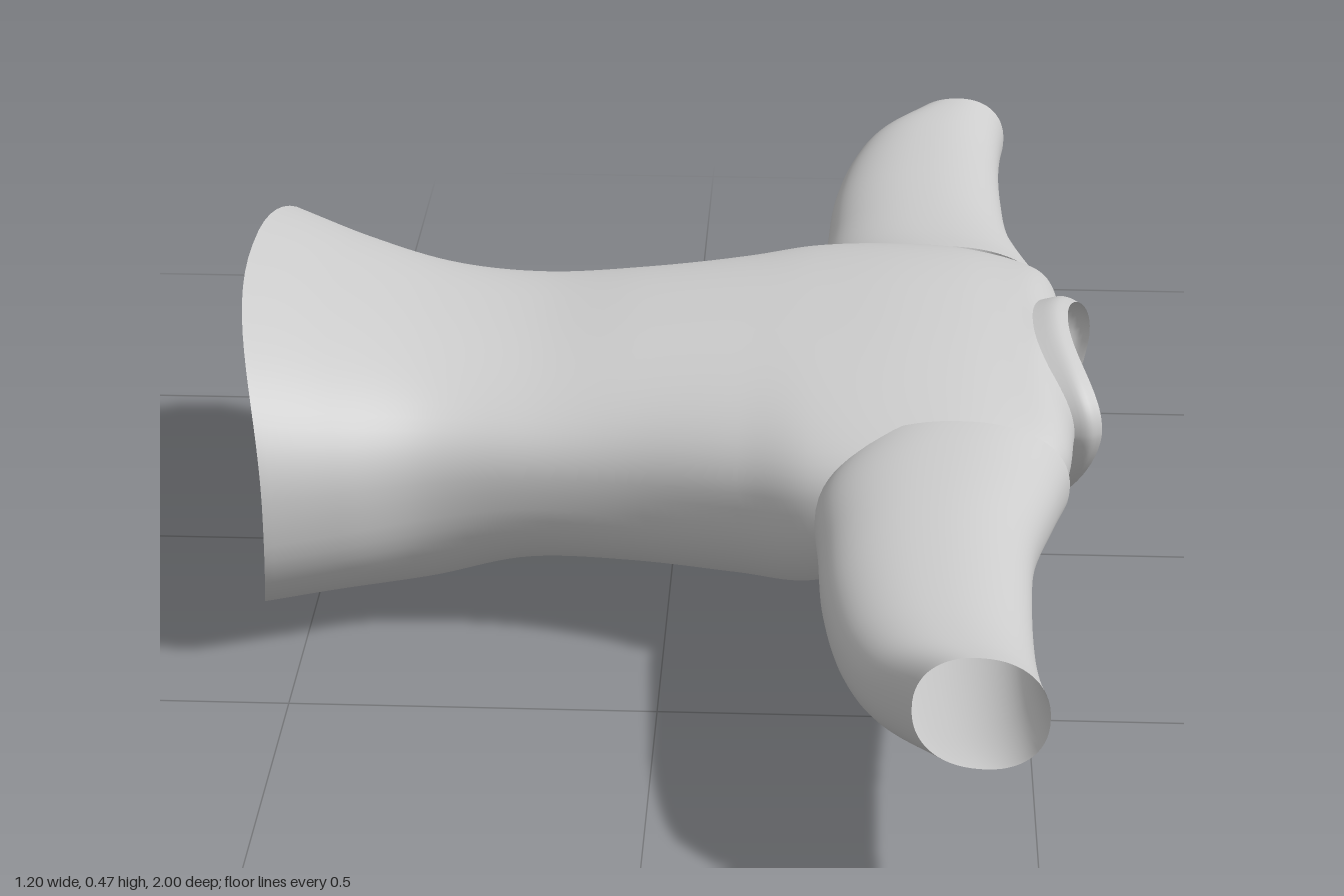
import * as THREE from 'three';

const fabric = new THREE.MeshStandardMaterial({ color: 0xcccccc, side: THREE.DoubleSide });
const SEG = 64;
const pow = (v, e) => Math.sign(v) * Math.abs(v) ** e;

// Skin a smooth surface through a list of rings; skip(p) leaves holes
function loft(name, rings, steps, closed = true, skip = () => false) {
  const n = rings[0].length;
  const columns = rings[0].map((_, j) =>
    new THREE.CatmullRomCurve3(rings.map(r => r[j]), false, 'centripetal'));
  const pts = [], index = [];
  for (let i = 0; i <= steps; i++) {
    for (let j = 0; j < n; j++) pts.push(columns[j].getPoint(i / steps));
  }
  for (let i = 0; i < steps; i++) {
    for (let j = 0; j < (closed ? n : n - 1); j++) {
      const a = i * n + j, d = i * n + (j + 1) % n, b = a + n, c = d + n;
      const mid = pts[a].clone().add(pts[c]).multiplyScalar(0.5);
      if (!skip(mid)) index.push(a, b, d, b, c, d);
    }
  }
  const geo = new THREE.BufferGeometry().setFromPoints(pts);
  geo.setIndex(index);
  geo.computeVertexNormals();
  const mesh = new THREE.Mesh(geo, fabric);
  mesh.name = name;
  return mesh;
}

// Point on a torso section: x differs at side, top and bottom so the ends can bow
function torsoPoint([xSide, xTop, xBot, yLo, yHi, yMid, half, pTop, pBot], a) {
  const c = Math.cos(a), s = Math.sin(a), up = s >= 0;
  const p = up ? pTop : pBot;
  const sy = pow(s, 2 / p);
  return new THREE.Vector3(
    xSide + ((up ? xTop : xBot) - xSide) * s * s,
    yMid + (up ? yHi - yMid : yMid - yLo) * sy,
    half * pow(c, 2 / p));
}

const ringOf = (section, from = 0, to = Math.PI * 2, closed = true) =>
  Array.from({ length: closed ? SEG : SEG + 1 },
    (_, j) => torsoPoint(section, from + (to - from) * j / SEG));

// Hem to neckline: xSide, xTop, xBottom, yLow, yHigh, yWidest, halfWidth, exponents
const torso = [
  [-0.54, -0.60, -0.575, 0.002, 0.47, 0.22, 0.40, 2.3, 2.5],
  [-0.44, -0.48, -0.47, 0.01, 0.428, 0.22, 0.358, 2.3, 2.5],
  [-0.33, -0.34, -0.33, 0.017, 0.392, 0.22, 0.313, 2.4, 2.4],
  [-0.20, -0.20, -0.20, 0.05, 0.377, 0.23, 0.303, 2.4, 2.4],
  [-0.05, -0.05, -0.05, 0.053, 0.386, 0.23, 0.315, 2.4, 2.4],
  [0.10, 0.10, 0.10, 0.046, 0.393, 0.24, 0.358, 2.4, 2.3],
  [0.20, 0.20, 0.20, 0.044, 0.397, 0.25, 0.40, 2.4, 2.2],
  [0.32, 0.32, 0.32, 0.09, 0.398, 0.26, 0.405, 2.4, 2.2],
  [0.42, 0.41, 0.41, 0.122, 0.39, 0.27, 0.395, 2.4, 2.2],
  [0.50, 0.47, 0.47, 0.138, 0.378, 0.275, 0.37, 2.3, 2.1],
  [0.545, 0.495, 0.49, 0.143, 0.372, 0.28, 0.32, 2.3, 1.9],
  [0.565, 0.515, 0.505, 0.14, 0.368, 0.28, 0.185, 2.2, 1.6],
];

// Sleeve from shoulder to cuff: z at lower edge, z at upper edge, xLow, xHigh, yLow, yHigh
const sleeve = [
  [0.33, 0.32, 0.235, 0.553, 0.165, 0.362],
  [0.41, 0.40, 0.21, 0.532, 0.172, 0.354],
  [0.55, 0.55, 0.214, 0.498, 0.18, 0.348],
  [0.70, 0.72, 0.222, 0.488, 0.186, 0.345],
  [0.84, 0.86, 0.245, 0.488, 0.192, 0.345],
  [0.92, 0.94, 0.275, 0.493, 0.198, 0.35],
  [0.98, 1.00, 0.333, 0.50, 0.203, 0.355],
];

function makeSleeve(name, side) {
  const drop = side < 0 ? -0.01 : 0;
  const rings = sleeve.map(([zLow, zHigh, x0, x1, y0, y1]) =>
    Array.from({ length: SEG }, (_, j) => {
      const a = -side * j / SEG * Math.PI * 2;
      const c = pow(Math.cos(a), 0.9), s = pow(Math.sin(a), 0.9);
      return new THREE.Vector3(
        (x0 + x1) / 2 + c * (x1 - x0) / 2,
        (y0 + y1) / 2 + s * (y1 - y0) / 2 + drop,
        side * (zLow + (zHigh - zLow) * (c + 1) / 2));
    }));
  return loft(name, rings, 48);
}

export function createModel() {
  const group = new THREE.Group();
  group.name = 'shirt';

  // Torso with openings cut where the sleeves join
  const inArmhole = p => Math.abs(p.z) > 0.3 &&
    ((p.x - 0.385) / 0.13) ** 2 + ((p.y - 0.262) / 0.07) ** 2 < 1;
  group.add(loft('torso', torso.map(s => ringOf(s)), 90, true, inArmhole));

  group.add(makeSleeve('leftSleeve', 1), makeSleeve('rightSleeve', -1));

  // Stand-up collar band, split at the bottom of the neckline
  const gap = 1.05;
  const collar = [
    [0.56, 0.51, 0.505, 0.128, 0.372, 0.28, 0.19, 2.2, 1.6],
    [0.585, 0.54, 0.515, 0.11, 0.378, 0.28, 0.192, 2.2, 1.6],
    [0.603, 0.56, 0.522, 0.10, 0.372, 0.28, 0.178, 2.2, 1.6],
  ];
  group.add(loft('collar', collar.map(s => ringOf(s, -gap, Math.PI + gap, false)), 8, false));

  return group;
}
